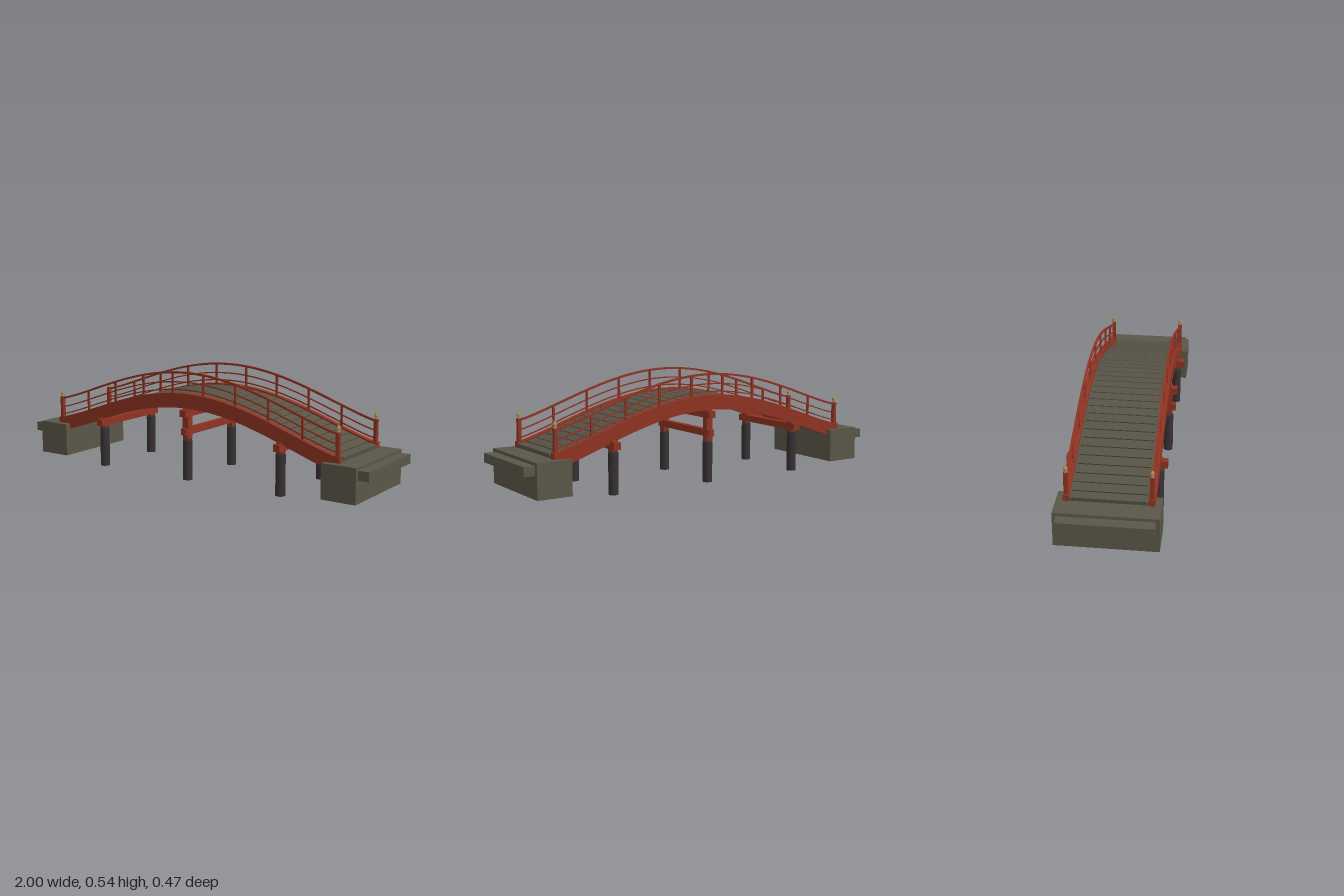
import * as THREE from 'three';

const material = (name, color) => {
  const m = new THREE.MeshStandardMaterial({ color });
  m.name = name;
  return m;
};

// Rise of the arch above its ends, at distance x from the middle
const HALF = 0.83;
const arch = (x) => {
  const c = Math.cos((Math.PI / 2) * Math.min(1, Math.abs(x) / HALF));
  return 0.205 * Math.pow(Math.max(0, c), 1.2) - 0.205;
};

export function createModel() {
  const red = material('red lacquer', 0x8f3323);
  const wood = material('weathered deck wood', 0x575345);
  const stone = material('abutment stone', 0x5a5648);
  const dark = material('dark pile timber', 0x383133);
  const gold = material('brass', 0xa8935a);

  const bridge = new THREE.Group();
  bridge.name = 'archBridge';

  const add = (name, geometry, mat, x = 0, y = 0, z = 0) => {
    const mesh = new THREE.Mesh(geometry, mat);
    mesh.name = name;
    mesh.position.set(x, y, z);
    bridge.add(mesh);
    return mesh;
  };
  const box = (name, w, h, d, mat, x, y, z) =>
    add(name, new THREE.BoxGeometry(w, h, d), mat, x, y, z);

  // Bar that follows the arch; top and height are measured at midspan
  const archBar = (name, half, top, height, width, mat, z) => {
    const steps = 48;
    const upper = [];
    const lower = [];
    for (let i = 0; i <= steps; i++) {
      const x = -half + (2 * half * i) / steps;
      upper.push(new THREE.Vector2(x, top + arch(x)));
      lower.push(new THREE.Vector2(x, top - height + arch(x)));
    }
    const shape = new THREE.Shape([...lower, ...upper.reverse()]);
    const geometry = new THREE.ExtrudeGeometry(shape, { depth: width, bevelEnabled: false });
    geometry.translate(0, 0, -width / 2);
    return add(name, geometry, mat, 0, 0, z);
  };

  // Deck: continuous base with separate planks laid along the arch
  archBar('deckBase', 0.845, 0.417, 0.014, 0.352, wood, 0);
  const pitch = 0.05;
  for (let i = 0; i < 34; i++) {
    const x = (i - 16.5) * pitch;
    const slope = (arch(x + 0.02) - arch(x - 0.02)) / 0.04;
    const plank = box('deckPlank', 0.045 * Math.hypot(1, slope), 0.016, 0.332, wood,
      x, 0.417 + arch(x), 0);
    plank.rotation.z = Math.atan(slope);
  }

  // Joists beneath the deck
  for (let i = -5; i <= 5; i++) {
    const x = i * 0.13;
    const joist = box('deckJoist', 0.026, 0.026, 0.36, red, x, 0.392 + arch(x), 0);
    joist.rotation.z = Math.atan((arch(x + 0.02) - arch(x - 0.02)) / 0.04);
  }

  // Girders, railings and end posts on both sides
  const finialProfile = [
    [0, 0], [0.009, 0], [0.009, 0.006], [0.006, 0.009], [0.01, 0.016],
    [0.0095, 0.023], [0.005, 0.031], [0, 0.038],
  ].map(([r, y]) => new THREE.Vector2(r, y));
  const finial = new THREE.LatheGeometry(finialProfile, 12);

  for (const side of [-1, 1]) {
    const z = side * 0.19;
    archBar('girder', 0.845, 0.43, 0.072, 0.029, red, z);
    archBar('topRail', 0.835, 0.537, 0.01, 0.01, red, z);
    archBar('middleRail', HALF, 0.488, 0.006, 0.006, red, z);
    archBar('lowerRail', HALF, 0.45, 0.006, 0.006, red, z);

    for (let i = 1; i < 9; i++) {
      const x = -HALF + (2 * HALF * i) / 9;
      box('railPost', 0.01, 0.115, 0.009, red, x, 0.475 + arch(x), z);
    }
    for (const end of [-1, 1]) {
      box('endPost', 0.017, 0.137, 0.02, red, end * HALF, 0.267, z);
      add('finial', finial, gold, end * HALF, 0.334, z);
      box('girderFoot', 0.03, 0.03, 0.029, red, end * 0.83, 0.208, z);
    }
  }

  // Piles with bevelled heads, short posts and cross beams
  const pileProfile = [[0, 0], [0.024, 0], [0.024, 0], [0.024, 0.198], [0.024, 0.198],
    [0.019, 0.208], [0.019, 0.208], [0, 0.208]].map(([r, y]) => new THREE.Vector2(r, y));
  const pile = new THREE.LatheGeometry(pileProfile, 16);
  for (const x of [-0.535, 0, 0.535]) {
    const beamY = x === 0 ? 0.337 : 0.232;
    for (const side of [-1, 1]) {
      add('pile', pile, dark, x, 0, side * 0.195);
      const top = beamY + 0.023;
      box('pilePost', 0.032, top - 0.205, 0.036, red, x, (top + 0.205) / 2, side * 0.195);
    }
    box('crossBeam', 0.037, 0.034, 0.472, red, x, beamY, 0);
  }
  box('lowerTieBeam', 0.028, 0.034, 0.46, red, 0, 0.245, 0);

  // Stone abutments with an outer step
  for (const end of [-1, 1]) {
    box('abutment', 0.175, 0.169, 0.472, stone, end * 0.8575, 0.1115, 0);
    box('abutmentStep', 0.07, 0.045, 0.436, stone, end * 0.965, 0.159, 0);
  }

  return bridge;
}
